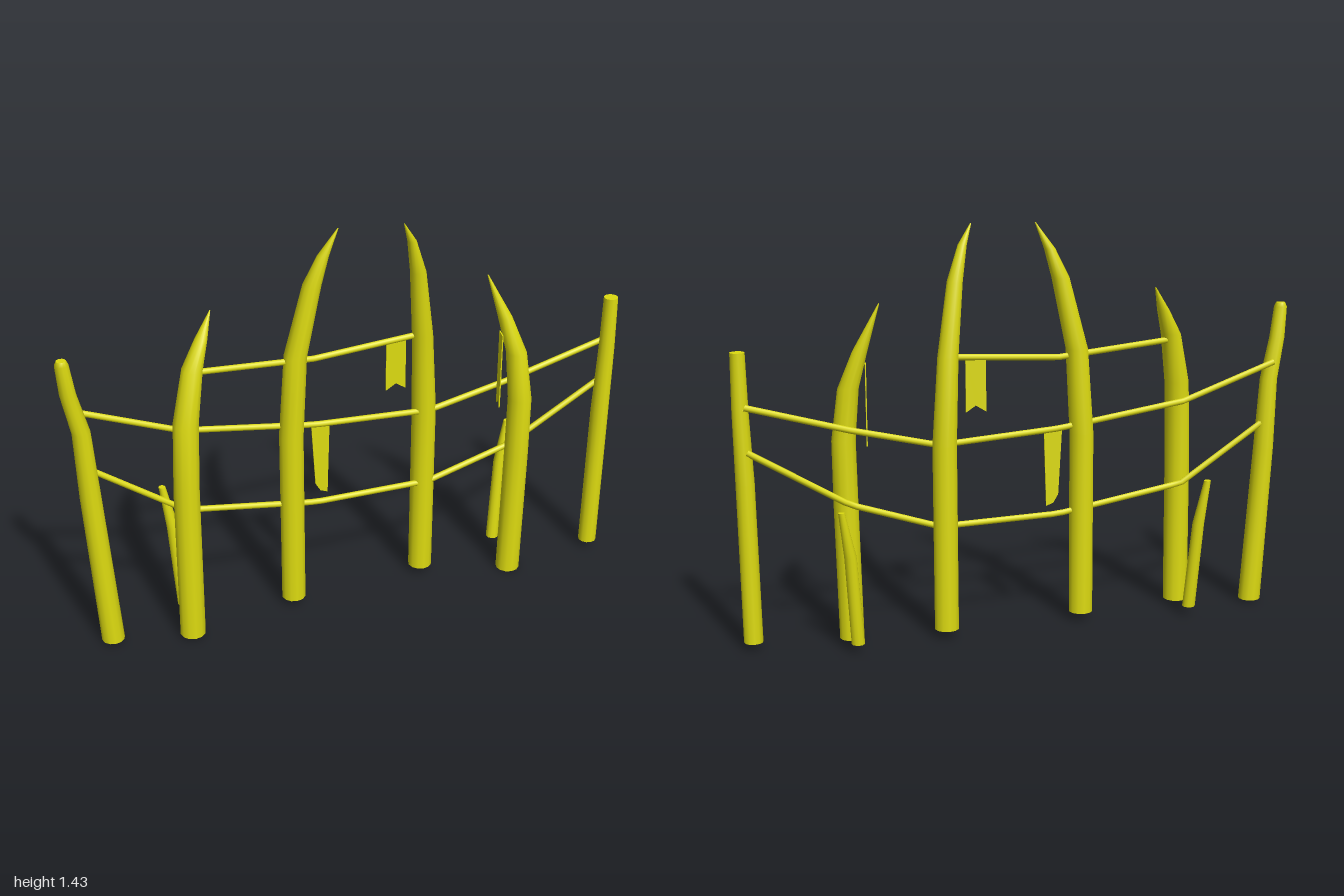
import * as THREE from 'three';

const yellow = new THREE.MeshStandardMaterial({ color: 0xdddb10, side: THREE.DoubleSide });
yellow.name = 'yellow';

// Tapered pole through horizontal rings [x, y, z, radius], closed at both ends
function pole(rings, sides = 12) {
  const pos = [], index = [];
  const addRing = ([x, y, z, r]) => {
    const start = pos.length / 3;
    for (let i = 0; i < sides; i++) {
      const a = (i / sides) * Math.PI * 2;
      pos.push(x + r * Math.cos(a), y, z + r * Math.sin(a));
    }
    return start;
  };
  const starts = rings.map(addRing);
  for (let k = 0; k < starts.length - 1; k++) {
    for (let i = 0; i < sides; i++) {
      const j = (i + 1) % sides;
      const a = starts[k] + i, b = starts[k] + j;
      const c = starts[k + 1] + i, d = starts[k + 1] + j;
      index.push(a, c, b, b, c, d);
    }
  }
  // Separate rings keep the cap edges sharp
  const bottom = addRing(rings[0]), top = addRing(rings[rings.length - 1]);
  for (let i = 1; i < sides - 1; i++) {
    index.push(bottom, bottom + i, bottom + i + 1, top, top + i + 1, top + i);
  }
  const g = new THREE.BufferGeometry();
  g.setAttribute('position', new THREE.Float32BufferAttribute(pos, 3));
  g.setIndex(index);
  g.computeVertexNormals();
  return g;
}

// Rope of straight runs between the given points
function rope(points, radius = 0.011) {
  const path = new THREE.CurvePath();
  const v = points.map((p) => new THREE.Vector3(...p));
  for (let i = 0; i < v.length - 1; i++) path.add(new THREE.LineCurve3(v[i], v[i + 1]));
  return new THREE.TubeGeometry(path, 48, radius, 8, false);
}

// Thin cloth strip from an outline in x and y
function strip(outline) {
  const shape = new THREE.Shape(outline.map(([x, y]) => new THREE.Vector2(x, y)));
  const g = new THREE.ExtrudeGeometry(shape, { depth: 0.004, bevelEnabled: false });
  return g.translate(0, 0, -0.002);
}

export function createModel() {
  const group = new THREE.Group();
  const add = (name, geometry) => {
    const m = new THREE.Mesh(geometry, yellow);
    m.name = name;
    group.add(m);
    return m;
  };

  // Blunt end posts
  add('rightEndPost', pole([
    [-0.885, 0.02, 0.035, 0.04], [-0.92, 0.6, 0.032, 0.036], [-0.932, 0.85, 0.033, 0.031],
    [-0.965, 1.0, 0.045, 0.027], [-0.977, 1.11, 0.05, 0.023], [-0.977, 1.125, 0.05, 0.016]]));
  add('leftEndPost', pole([
    [0.95, 0.04, 0.032, 0.033], [0.957, 0.6, 0.032, 0.032], [0.964, 0.85, 0.032, 0.028],
    [0.966, 1.045, 0.03, 0.025]]));

  // Curved, pointed tusk posts
  add('rightOuterTusk', pole([
    [-0.615, 0.025, 0.1, 0.045], [-0.61, 0.6, 0.1, 0.045], [-0.597, 0.85, 0.086, 0.044],
    [-0.56, 1.03, 0.058, 0.036], [-0.52, 1.12, 0.033, 0.022], [-0.48, 1.205, 0.008, 0.002]]));
  add('rightInnerTusk', pole([
    [-0.22, 0.04, 0.022, 0.043], [-0.218, 0.7, 0.022, 0.043], [-0.198, 1.0, 0.02, 0.04],
    [-0.138, 1.25, 0.022, 0.032], [-0.1, 1.35, 0.026, 0.02], [-0.05, 1.44, 0.03, 0.002]]));
  add('leftInnerTusk', pole([
    [0.285, 0.04, -0.022, 0.043], [0.285, 0.7, -0.02, 0.043], [0.266, 1.0, -0.002, 0.037],
    [0.232, 1.25, 0.03, 0.028], [0.2, 1.37, 0.05, 0.016], [0.166, 1.44, 0.066, 0.002]]));
  add('leftOuterTusk', pole([
    [0.605, 0.01, 0.062, 0.043], [0.615, 0.5, 0.062, 0.043], [0.618, 0.72, 0.06, 0.042],
    [0.6, 0.9, 0.05, 0.037], [0.56, 1.03, 0.03, 0.026], [0.497, 1.19, 0.008, 0.002]]));

  // Short stakes behind
  add('rightStake', pole([
    [-0.608, 0.045, -0.052, 0.023], [-0.628, 0.36, -0.076, 0.021], [-0.655, 0.52, -0.086, 0.012]]));
  add('leftStake', pole([
    [0.612, 0.045, -0.098, 0.023], [0.635, 0.36, -0.118, 0.021], [0.664, 0.52, -0.133, 0.011]]));

  // Three sagging ropes
  add('topRope', rope([[-0.55, 1.01, 0.045], [-0.13, 0.975, 0.012], [0.29, 1.0, -0.005]]));
  add('middleRope', rope([[-0.94, 0.915, 0.012], [-0.6, 0.79, 0.02], [-0.13, 0.722, 0.012],
    [0.3, 0.695, -0.002], [0.6, 0.765, 0.0], [0.955, 0.865, 0.0]]));
  add('bottomRope', rope([[-0.915, 0.7, 0.02], [-0.6, 0.485, 0.03], [-0.13, 0.412, 0.015],
    [0.3, 0.405, 0.0], [0.61, 0.505, 0.008], [0.95, 0.71, 0.01]]));

  // Hanging cloth strips
  add('notchedStrip', strip([[0.133, 0.985], [0.205, 0.985], [0.205, 0.802], [0.17, 0.825],
    [0.133, 0.802]]));
  const torn = add('tornStrip', strip([[-0.143, 0.72], [-0.077, 0.72], [-0.086, 0.445],
    [-0.112, 0.455], [-0.13, 0.485]]));
  torn.position.z = 0.012;
  const side = add('sideStrip', strip([[-0.022, 0.98], [0.022, 0.98], [0.02, 0.7], [0, 0.72],
    [-0.02, 0.7]]));
  side.position.set(0.539, 0, 0.05);
  side.rotation.y = 1.4;

  return group;
}
